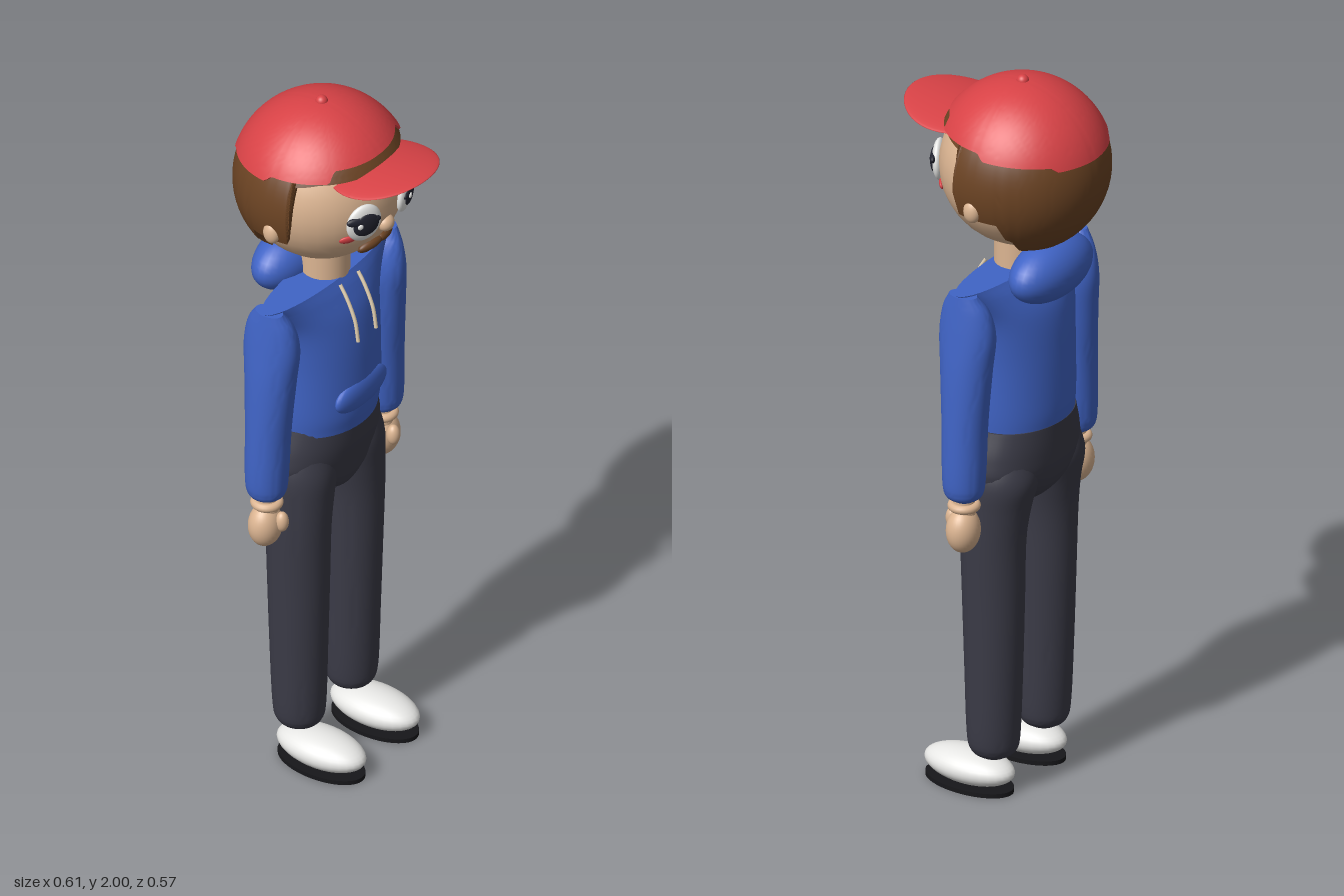
import * as THREE from 'three';
import { toCreasedNormals } from 'three/addons/utils/BufferGeometryUtils.js';

const HEAD = new THREE.Vector3(0, 1.75, -0.055);
const HEAD_R = 0.213;

function material(name, color, side = THREE.FrontSide) {
  const m = new THREE.MeshStandardMaterial({ color, side });
  m.name = name;
  return m;
}

// Triangles for a grid of rows; each row closes on itself
function gridGeometry(positions, rows, cols) {
  const index = [];
  for (let i = 0; i < rows - 1; i++) {
    for (let j = 0; j < cols; j++) {
      const k = (j + 1) % cols;
      const a = i * cols + j, b = i * cols + k, c = a + cols, d = b + cols;
      index.push(a, c, b, b, c, d);
    }
  }
  const g = new THREE.BufferGeometry();
  g.setAttribute('position', new THREE.Float32BufferAttribute(positions, 3));
  g.setIndex(index);
  g.computeVertexNormals();
  return toCreasedNormals(g, 0.9);
}

// Smooth elliptical body through sections [y, centreX, radiusX, centreZ, radiusZ]
function loft(sections, mirror = 1, steps = 36, cols = 40) {
  const a = new THREE.CatmullRomCurve3(sections.map(s => new THREE.Vector3(s[0], s[1], s[2])), false, 'catmullrom');
  const b = new THREE.CatmullRomCurve3(sections.map(s => new THREE.Vector3(s[0], s[3], s[4])), false, 'catmullrom');
  const pos = [];
  const ring = (t, k) => {
    const p = a.getPoint(t), q = b.getPoint(t);
    for (let j = 0; j < cols; j++) {
      const ang = j / cols * Math.PI * 2;
      pos.push(mirror * p.y + Math.cos(ang) * p.z * k, p.x, q.y + Math.sin(ang) * q.z * k);
    }
  };
  ring(0, 0);
  for (let i = 0; i <= steps; i++) ring(i / steps, 1);
  ring(1, 0);
  return gridGeometry(pos, steps + 3, cols);
}

// Dome on the head whose lower edge follows [degrees from front, height above head centre]
function headShell(radius, inner, edge) {
  const cols = 144, rows = 28, pos = [];
  const height = deg => {
    let i = 1;
    while (i < edge.length - 1 && deg > edge[i][0]) i++;
    const [d0, h0] = edge[i - 1], [d1, h1] = edge[i];
    return h0 + (h1 - h0) * (deg - d0) / (d1 - d0);
  };
  for (let i = 0; i <= rows + 1; i++) {
    for (let j = 0; j < cols; j++) {
      const az = j / cols * Math.PI * 2;
      const deg = Math.min(az, Math.PI * 2 - az) * 180 / Math.PI;
      const th = Math.acos(height(deg) / radius) * Math.min(1, i / rows);
      const r = i > rows ? inner : radius;
      pos.push(r * Math.sin(th) * Math.sin(az), r * Math.cos(th), r * Math.sin(th) * Math.cos(az));
    }
  }
  return gridGeometry(pos, rows + 2, cols).translate(HEAD.x, HEAD.y, HEAD.z);
}

export function createModel() {
  const root = new THREE.Group();
  root.name = 'boyInCap';
  const skin = material('skin', 0xdcb592);
  const red = material('cap red', 0xd84246, THREE.DoubleSide);
  const blue = material('hoodie blue', 0x4064c6);
  const dark = material('trouser charcoal', 0x3b3b47);
  const brown = material('hair brown', 0x6b4323, THREE.DoubleSide);
  const white = material('white', 0xececea);
  const black = material('sole black', 0x17171a);
  const ink = material('eye ink', 0x22232f);
  const cream = material('cord cream', 0xe6d3b4);

  const add = (name, geo, mat) => {
    const m = new THREE.Mesh(geo, mat);
    m.name = name;
    root.add(m);
    return m;
  };
  const ball = (name, mat, x, y, z, rx, ry = rx, rz = rx) => {
    const m = add(name, new THREE.SphereGeometry(1, 32, 20), mat);
    m.position.set(x, y, z);
    m.scale.set(rx, ry, rz);
    return m;
  };
  // Flattened ball lying on the face at front position (x, y)
  const onFace = (name, mat, x, y, rx, ry, rz, lift = 0, roll = 0) => {
    const dy = y - HEAD.y;
    const n = new THREE.Vector3(x, dy, Math.sqrt(HEAD_R ** 2 - x * x - dy * dy)).normalize();
    const p = n.clone().multiplyScalar(HEAD_R + lift).add(HEAD);
    const m = ball(name, mat, p.x, p.y, p.z, rx, ry, rz);
    m.lookAt(p.clone().add(n));
    m.rotateZ(roll);
    return m;
  };

  // Head, neck, hair and cap
  ball('head', skin, HEAD.x, HEAD.y, HEAD.z, HEAD_R);
  add('neck', new THREE.CylinderGeometry(0.064, 0.064, 0.13, 32), skin).position.set(0, 1.505, -0.045);
  add('hair', headShell(0.23, 0.208, [[0, 0.118], [55, 0.112], [73, 0.1], [76, -0.075],
    [108, -0.08], [112, -0.13], [118, -0.14], [122, -0.185], [180, -0.195]]), brown);
  add('capCrown', headShell(0.236, 0.226, [[0, 0.148], [44, 0.145], [48, 0.118], [92, 0.112],
    [97, 0.095], [145, 0.085], [150, 0.072], [180, 0.07]]), red);
  ball('capButton', red, 0, 1.984, -0.057, 0.016);

  // Brim, drooping towards its sides
  const brim = new THREE.SphereGeometry(1, 48, 20).scale(0.148, 0.008, 0.142).rotateX(-0.11);
  const bp = brim.attributes.position;
  for (let i = 0; i < bp.count; i++) bp.setY(i, bp.getY(i) - 0.8 * bp.getX(i) ** 2);
  brim.computeVertexNormals();
  add('capBrim', brim, red).position.set(0, 1.867, 0.14);

  // Face
  ball('nose', skin, 0, 1.69, 0.147, 0.025, 0.023, 0.022);
  onFace('goatee', brown, 0, 1.597, 0.036, 0.018, 0.012, 0.002);
  onFace('chinTuft', brown, 0, 1.58, 0.018, 0.014, 0.012, 0.002);
  for (const s of [-1, 1]) {
    onFace('eyeWhite', white, s * 0.085, 1.737, 0.05, 0.056, 0.018, 0.002);
    onFace('iris', ink, s * 0.085, 1.738, 0.037, 0.034, 0.01, 0.015);
    onFace('upperLash', ink, s * 0.09, 1.75, 0.05, 0.016, 0.012, 0.012, s * 0.12);
    onFace('eyeGlint', white, s * 0.085 - 0.017, 1.742, 0.008, 0.008, 0.004, 0.024);
    onFace('cheek', red, s * 0.117, 1.688, 0.022, 0.012, 0.006, 0.002);
    onFace('moustache', brown, s * 0.03, 1.63, 0.038, 0.015, 0.014, 0.003, -s * 0.12);
    ball('ear', skin, s * 0.217, 1.697, -0.053, 0.02, 0.032, 0.024);
  }

  // Hoodie
  add('hoodieBody', loft([[1.03, 0, 0.16, -0.05, 0.125], [1.1, 0, 0.165, -0.048, 0.132],
    [1.25, 0, 0.169, -0.048, 0.127], [1.36, 0, 0.184, -0.049, 0.112],
    [1.43, 0, 0.226, -0.046, 0.083], [1.47, 0, 0.266, -0.042, 0.058]]), blue);
  ball('hood', blue, 0, 1.475, -0.145, 0.152, 0.082, 0.077);
  ball('pocket', blue, 0, 1.132, 0.068, 0.105, 0.05, 0.024);

  // Trouser seat
  add('trouserSeat', loft([[0.795, 0, 0.02, -0.045, 0.03], [0.82, 0, 0.07, -0.046, 0.07],
    [0.86, 0, 0.14, -0.054, 0.098], [0.91, 0, 0.192, -0.058, 0.111],
    [0.97, 0, 0.189, -0.056, 0.119], [1.045, 0, 0.165, -0.055, 0.122]]), dark);

  for (const s of [-1, 1]) {
    // Drawstring
    const cord = new THREE.CatmullRomCurve3([[1.465, 0.03], [1.43, 0.052], [1.37, 0.078], [1.31, 0.088]]
      .map(([y, z]) => new THREE.Vector3(s * 0.038, y, z)));
    add('drawstring', new THREE.TubeGeometry(cord, 16, 0.005, 8), cream);

    // Sleeve, wrist and hand
    add('sleeve', loft([[0.885, 0.245, 0.028, -0.048, 0.028], [0.905, 0.246, 0.05, -0.048, 0.05],
      [0.96, 0.245, 0.058, -0.048, 0.056], [1.1, 0.24, 0.06, -0.047, 0.06],
      [1.25, 0.232, 0.06, -0.046, 0.071], [1.35, 0.226, 0.056, -0.046, 0.08],
      [1.42, 0.23, 0.044, -0.045, 0.068], [1.467, 0.242, 0.026, -0.043, 0.04]], s), blue);
    add('wrist', new THREE.CylinderGeometry(0.027, 0.03, 0.08, 24), skin).position.set(s * 0.245, 0.865, -0.048);
    const cuff = add('wristRing', new THREE.TorusGeometry(0.031, 0.012, 12, 32), skin);
    cuff.position.set(s * 0.245, 0.868, -0.048);
    cuff.rotation.x = Math.PI / 2;
    ball('hand', skin, s * 0.25, 0.8, -0.049, 0.049, 0.062, 0.043);
    ball('thumb', skin, s * 0.237, 0.818, -0.006, 0.018, 0.029, 0.018);

    // Trouser leg
    add('trouserLeg', loft([[0.1, 0.11, 0.035, -0.045, 0.035], [0.12, 0.11, 0.06, -0.045, 0.06],
      [0.17, 0.111, 0.07, -0.045, 0.069], [0.35, 0.112, 0.074, -0.046, 0.076],
      [0.55, 0.113, 0.078, -0.046, 0.082], [0.72, 0.114, 0.083, -0.046, 0.086],
      [0.82, 0.108, 0.09, -0.05, 0.094], [0.9, 0.1, 0.096, -0.057, 0.104],
      [0.97, 0.095, 0.08, -0.055, 0.09]], s), dark);

    // Shoe and sole
    ball('shoe', white, s * 0.114, 0.053, 0.028, 0.072, 0.046, 0.133);
    const sole = add('sole', new THREE.CylinderGeometry(1, 1, 0.012, 40), black);
    sole.position.set(s * 0.114, 0.006, 0.028);
    sole.scale.set(0.07, 1, 0.13);
  }
  return root;
}
